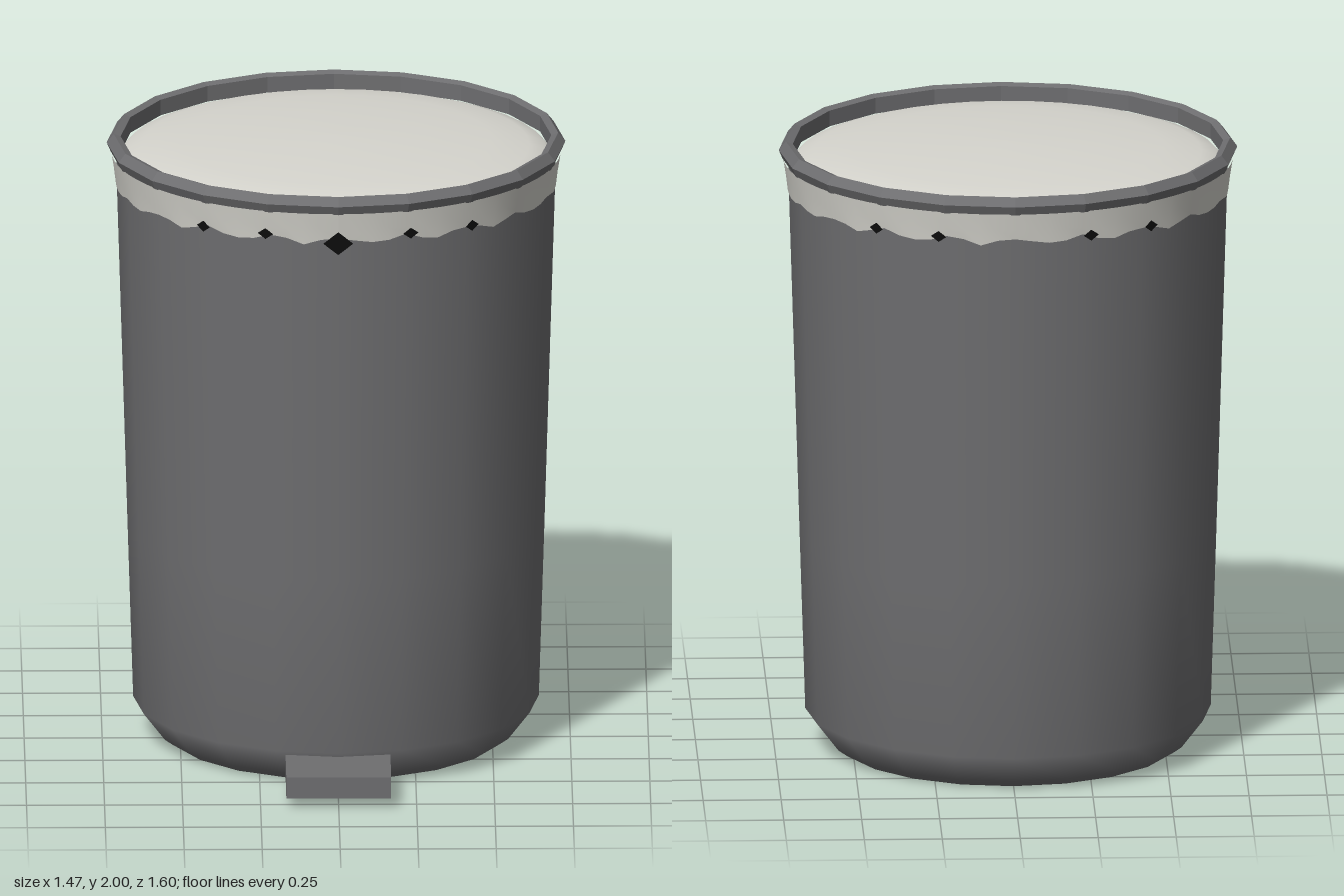
import * as THREE from 'three';
import { toCreasedNormals } from 'three/addons/utils/BufferGeometryUtils.js';

const SIDES = 20;

function lathe(points, segments) {
  return new THREE.LatheGeometry(points.map(([r, y]) => new THREE.Vector2(r, y)), segments);
}

export function createModel() {
  const grey = new THREE.MeshStandardMaterial({ color: 0x6e6e70 });
  grey.name = 'dark grey plastic';
  const white = new THREE.MeshStandardMaterial({ color: 0xd6d5ce });
  white.name = 'off-white liner';
  const black = new THREE.MeshStandardMaterial({ color: 0x0c0c0c });
  black.name = 'black gap';

  const model = new THREE.Group();
  model.name = 'pedalBin';
  const bin = new THREE.Group();
  bin.name = 'bin';
  bin.position.z = -0.067;
  model.add(bin);

  function add(parent, name, geometry, material) {
    const mesh = new THREE.Mesh(geometry, material);
    mesh.name = name;
    parent.add(mesh);
    return mesh;
  }

  // Tapered body with a bevelled foot
  add(bin, 'body', lathe([[0.55, 0.006], [0.578, 0.026], [0.65, 0.12], [0.668, 0.7],
    [0.686, 1.3], [0.703, 1.86], [0.705, 1.95]], SIDES), grey);
  add(bin, 'base', lathe([[0, 0], [0.54, 0], [0.55, 0.006]], SIDES), grey);

  // Faceted rim, a closed ring section
  const rim = lathe([[0.69, 1.94], [0.722, 1.942], [0.735, 1.972], [0.712, 2],
    [0.69, 1.992], [0.69, 1.94]], SIDES);
  add(bin, 'rim', toCreasedNormals(rim, 0.1), grey);

  // Domed lid inside the rim
  add(bin, 'lid', lathe([[0.692, 1.925], [0.675, 1.943], [0.62, 1.962], [0.5, 1.978],
    [0.3, 1.99], [0.12, 1.996], [0, 1.997]], 40), white);

  // Liner folded over the edge, with a ragged hem that is calmer at the sides
  const liner = lathe([[0.706, 1.835], [0.712, 1.89], [0.721, 1.945]], 80);
  const pos = liner.attributes.position;
  for (let i = 0; i < pos.count; i += 3) {
    const step = (i / 3) % 80;
    const phi = step / 80 * Math.PI * 2;
    const calm = 0.25 + 0.75 * Math.abs(Math.cos(phi));
    const wave = Math.abs((step % 4) - 2) / 2;
    const nick = ((step * 7) % 5) / 5;
    pos.setY(i, 1.835 + calm * (0.024 * wave + 0.012 * nick));
  }
  liner.computeVertexNormals();
  add(bin, 'liner', liner, white);

  // Small dark gaps along the hem: angle from front in degrees, height, half width, half height
  const gaps = [[0, 1.845, 0.048, 0.038]];
  for (const s of [-1, 1]) {
    gaps.push([s * 19, 1.868, 0.026, 0.018], [s * 37, 1.862, 0.026, 0.018],
      [s * 142, 1.862, 0.026, 0.018], [s * 160, 1.862, 0.026, 0.018]);
  }
  for (const [deg, y, w, h] of gaps) {
    const a = THREE.MathUtils.degToRad(deg);
    const gap = add(bin, 'linerGap', new THREE.CircleGeometry(1, 4), black);
    gap.scale.set(w, h, 1);
    gap.rotation.y = a;
    gap.position.set(Math.sin(a) * 0.716, y, Math.cos(a) * 0.716);
  }

  // Foot pedal
  const pedal = add(model, 'pedal', new THREE.BoxGeometry(0.336, 0.07, 0.36), grey);
  pedal.position.set(0, 0.07, 0.62);

  // Face the base downwards
  return model;
}
